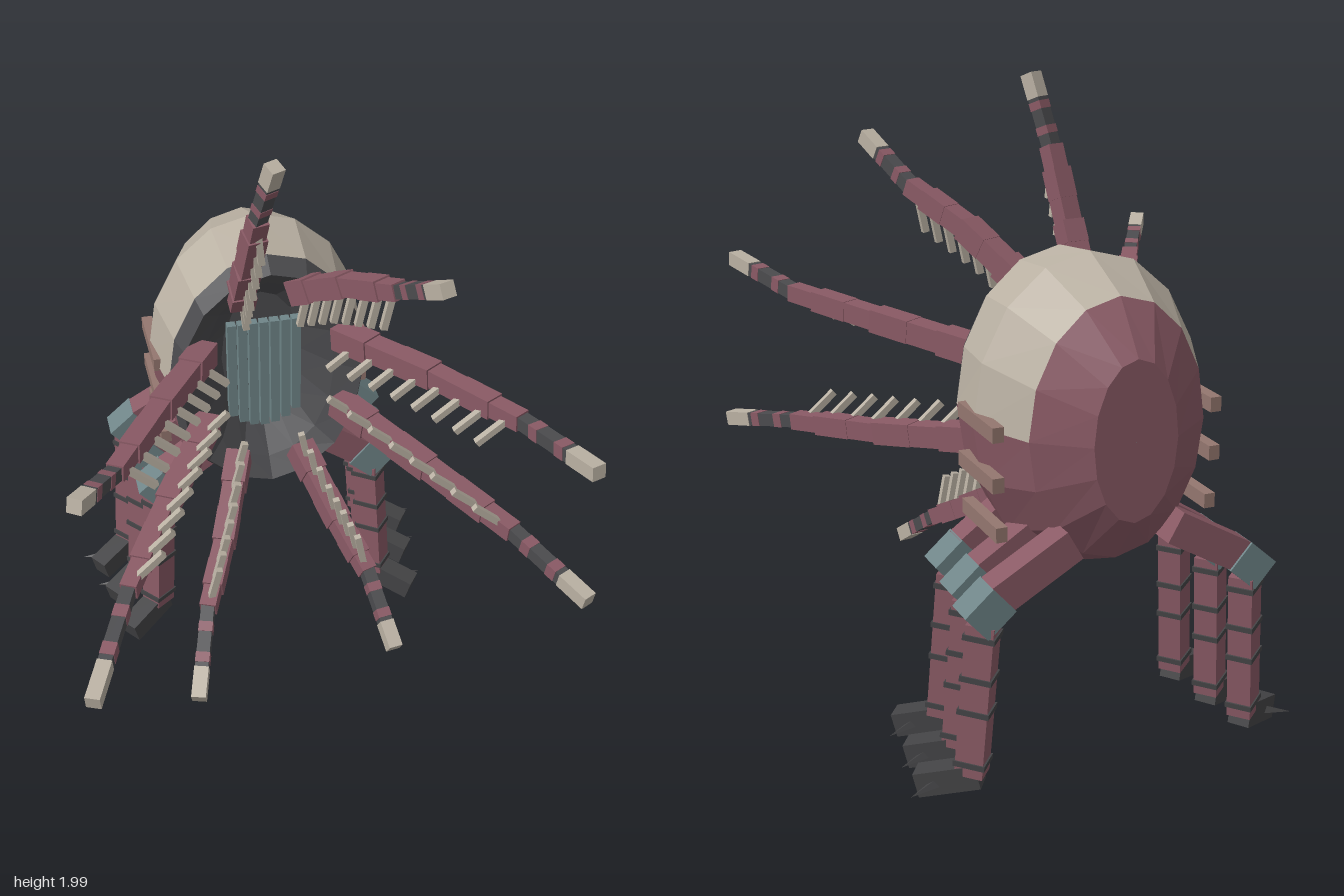
import * as THREE from 'three';
import { ParametricGeometry } from 'three/addons/geometries/ParametricGeometry.js';

const mat = (name, color) =>
  new THREE.MeshStandardMaterial({ name, color, flatShading: true, side: THREE.DoubleSide });

const CX = -0.02, CY = 1.075; // body axis

export function createModel() {
  const root = new THREE.Group();
  root.name = 'tentacledWalker';
  const maroon = mat('maroon', 0x8a5a65);
  const cream = mat('cream', 0xbab1a3);
  const dark = mat('charcoal', 0x4b4b4e);
  const teal = mat('greyTeal', 0x6f8588);
  const tan = mat('dustyTan', 0x94776f);
  const claw = mat('clawGrey', 0x444446);

  const V = (p) => new THREE.Vector3(...p);

  // Box stretched between two points
  function bar(parent, name, a, b, w, h, material) {
    const mesh = new THREE.Mesh(new THREE.BoxGeometry(w, h, a.distanceTo(b)), material);
    mesh.name = name;
    mesh.position.copy(a).lerp(b, 0.5);
    mesh.lookAt(b);
    parent.add(mesh);
    return mesh;
  }

  // Faceted band through elliptical rings [z, rx, ry]
  function shell(name, rings, from, to, sides, material) {
    const n = rings.length - 1;
    const geo = new ParametricGeometry((u, v, out) => {
      const [z, rx, ry] = rings[Math.round(v * n)] ?? rings[n];
      const a = from + (to - from) * u;
      out.set(CX + rx * Math.cos(a), CY + ry * Math.sin(a), z);
    }, sides, n);
    const mesh = new THREE.Mesh(geo, material);
    mesh.name = name;
    root.add(mesh);
  }

  // Body shell
  const back = [-0.68, 0.275, 0.39], middle = [-0.485, 0.362, 0.475];
  const front = [-0.275, 0.33, 0.45], rim = [-0.215, 0.305, 0.41];
  shell('backCap', [[-0.795, 0.001, 0.001], [-0.795, 0.13, 0.24], back], 0, Math.PI * 2, 16, maroon);
  shell('upperShell', [back, middle, front], 0, Math.PI, 8, cream);
  shell('lowerShell', [back, middle, front], Math.PI, Math.PI * 2, 8, maroon);

  // Mouth funnel and its slatted grille
  shell('mouthFunnel', [front, rim, [-0.27, 0.225, 0.35], [-0.38, 0.135, 0.245],
    [-0.38, 0.001, 0.001]], 0, Math.PI * 2, 16, dark);
  const grille = new THREE.Group();
  grille.name = 'mouthGrille';
  root.add(grille);
  for (let i = -3; i <= 3; i++) {
    const x = CX + i * 0.036;
    const bottom = CY - 0.255 * Math.sqrt(1 - (i / 5) ** 2);
    bar(grille, 'slat', V([x, bottom, -0.34]), V([x, 1.235, -0.34]), 0.03, 0.03, teal);
  }

  for (const s of [-1, 1]) {
    // Rails along each flank
    for (const [y, off] of [[1.09, 0.345], [0.94, 0.345], [0.79, 0.335]]) {
      bar(root, 'flankRail', V([CX + s * off, y, -0.63]), V([CX + s * off, y, -0.37]), 0.035, 0.045, tan);
    }

    // Three walking legs
    [[-0.35, 0], [-0.54, 0.03], [-0.705, 0.06]].forEach(([z, out], i) => {
      const leg = new THREE.Group();
      leg.name = 'walkingLeg';
      root.add(leg);
      const P = (x, y, dz) => V([CX + s * x, y, z + dz]);
      const o = out * 0.8;
      bar(leg, 'hip', P(0.16, 0.775, 0), P(0.34 + o, 0.645, 0), 0.085, 0.1, maroon);
      bar(leg, 'hipJoint', P(0.33 + o, 0.65, 0), P(0.415 + o, 0.575, 0), 0.1, 0.105, teal);
      const top = P(0.375 + o, 0.57, 0), ankle = P(0.405 + o, 0.09, 0.025);
      bar(leg, 'shin', top, ankle, 0.075, 0.085, maroon);
      for (const t of [0.06, 0.33, 0.55, 0.9]) {
        const c = top.clone().lerp(ankle, t), d = top.clone().lerp(ankle, t + 0.035);
        bar(leg, 'shinBand', c, d, 0.084, 0.096, claw);
      }
      // Foot with a side spur
      bar(leg, 'foot', P(0.385 + o, 0.092, 0.01), P(0.525 + out, 0.043, 0.115), 0.07, 0.075, claw);
      const spur = new THREE.Mesh(new THREE.ConeGeometry(0.025, 0.13, 4), claw);
      spur.name = 'footSpur';
      spur.position.copy(P(0.515 + out, 0.05, 0.055));
      spur.quaternion.setFromUnitVectors(new THREE.Vector3(0, 1, 0),
        new THREE.Vector3(s * 0.95, -0.15, -0.25).normalize());
      leg.add(spur);
    });
  }

  // Tentacles: base, bend, knee, tip
  const tentacles = [
    [[-0.115, 1.39, -0.24], [-0.11, 1.55, -0.15], [-0.09, 1.78, -0.06], [-0.055, 1.99, 0.015]],
    [[0.07, 1.4, -0.24], [0.17, 1.54, -0.03], [0.275, 1.64, 0.19], [0.345, 1.77, 0.41]],
    [[-0.23, 1.21, -0.24], [-0.42, 1.26, 0.08], [-0.61, 1.295, 0.41], [-0.745, 1.37, 0.62]],
    [[0.21, 1.21, -0.24], [0.42, 1.25, 0.09], [0.6, 1.28, 0.42], [0.705, 1.33, 0.755]],
    [[-0.23, 0.93, -0.24], [-0.42, 0.885, 0.08], [-0.6, 0.845, 0.42], [-0.76, 0.78, 0.785]],
    [[0.21, 0.94, -0.24], [0.42, 0.885, 0.09], [0.61, 0.845, 0.42], [0.755, 0.785, 0.71]],
    [[-0.13, 0.77, -0.24], [-0.24, 0.655, 0.05], [-0.34, 0.585, 0.28], [-0.42, 0.45, 0.53]],
    [[0.08, 0.77, -0.24], [0.155, 0.63, 0], [0.215, 0.535, 0.17], [0.25, 0.39, 0.395]],
  ];
  for (const points of tentacles) {
    const arm = new THREE.Group();
    arm.name = 'tentacle';
    root.add(arm);
    const [base, bend, knee, tip] = points.map(V);
    const along = (t) => (t < 0.5 ? base.clone().lerp(bend, t * 2) : bend.clone().lerp(knee, t * 2 - 1));

    // Stepped segments up to the knee
    for (let i = 0; i < 6; i++) {
      const w = 0.08 - i * 0.004 - (i % 2) * 0.007;
      bar(arm, 'tentacleSegment', along(i / 6), along((i + 1.12) / 6 > 1 ? 1 : (i + 1.12) / 6), w, w, maroon);
    }

    // Slim banded end and pale tip
    const end = (t) => knee.clone().lerp(tip, t);
    bar(arm, 'tentacleEnd', end(-0.03), end(0.66), 0.042, 0.042, dark);
    for (const t of [0.16, 0.5]) bar(arm, 'endBand', end(t), end(t + 0.11), 0.045, 0.045, maroon);
    bar(arm, 'tentacleTip', end(0.66), end(1), 0.046, 0.046, cream);

    // Row of spines pointing at the body axis
    const dir = new THREE.Vector3(CX - bend.x, (CY - bend.y) * 2, 0).normalize();
    for (let i = 0; i < 8; i++) {
      const a = along(0.12 + i * 0.118);
      bar(arm, 'spine', a, a.clone().addScaledVector(dir, 0.135), 0.021, 0.021, cream);
    }
  }
  return root;
}
